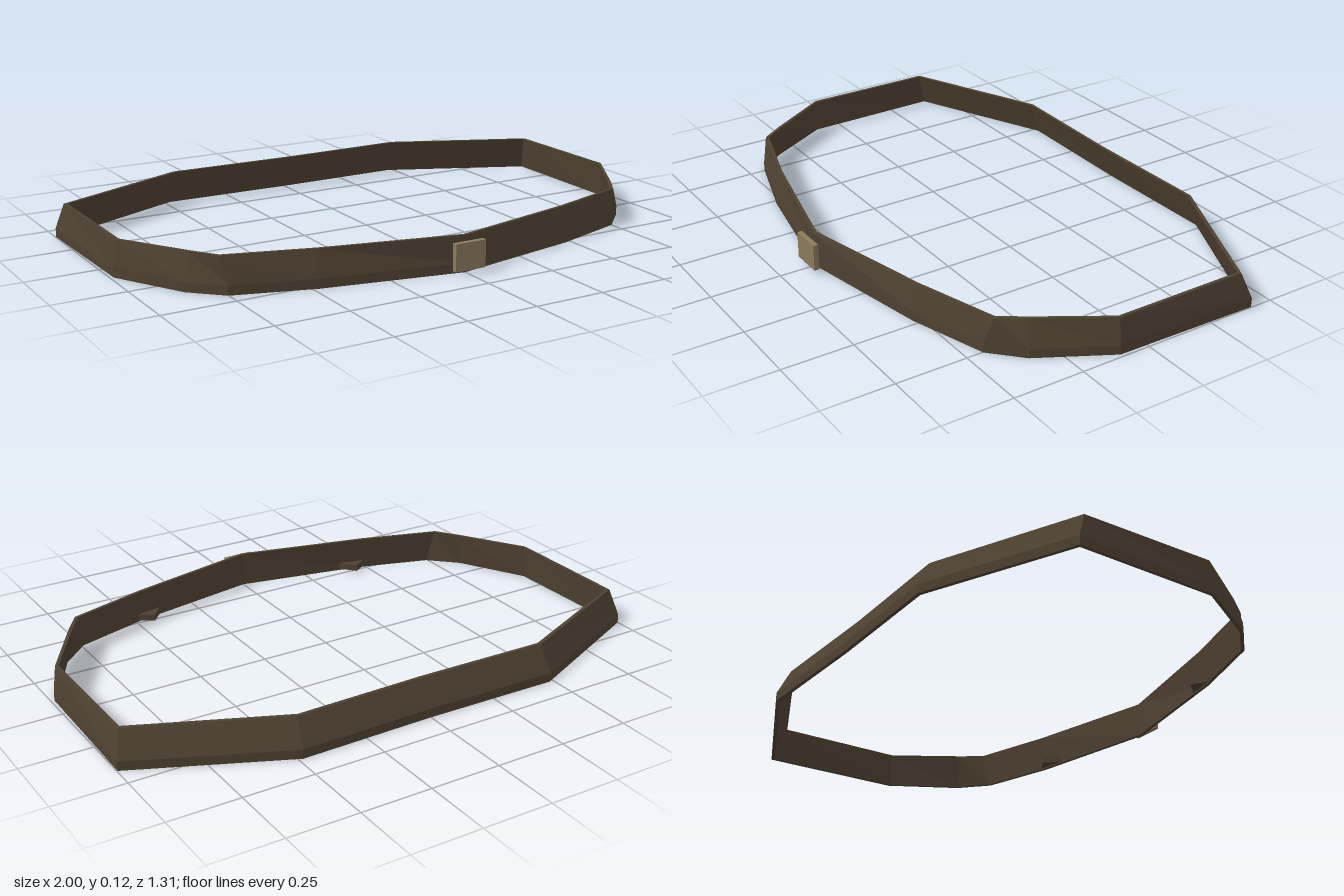
import * as THREE from 'three';

// Half of the strap, back centre to front centre: [top x, top z, bottom x, bottom z]
const HALF = [
  [0, -0.598, 0, -0.645],
  [0.475, -0.607, 0.485, -0.653],
  [0.976, -0.385, 0.998, -0.42],
  [0.976, 0.1, 0.988, 0.1],
  [0.83, 0.335, 0.853, 0.345],
  [0.772, 0.418, 0.752, 0.442],
  [0.48, 0.508, 0.48, 0.527],
  [0, 0.621, 0, 0.621],
];
const TOP = 0.128, LOW = 0.035, BOTTOM = 0.003;

// Closed band swept through five-sided cross-sections
function bandGeometry() {
  const mirrored = HALF.slice(1, -1).reverse().map(([a, b, c, d]) => [-a, b, -c, d]);
  const rings = [...HALF, ...mirrored].map(([tx, tz, bx, bz]) => {
    const inX = 0.988, inZ = 0.98;
    return [
      [bx, BOTTOM, bz],
      [bx, LOW, bz],
      [tx, TOP, tz],
      [tx * inX, TOP, tz * inZ],
      [bx * inX, BOTTOM, bz * inZ],
    ];
  });
  const pos = [];
  rings.forEach((ring, i) => {
    const next = rings[(i + 1) % rings.length];
    for (let j = 0; j < 5; j++) {
      const k = (j + 1) % 5;
      pos.push(...ring[j], ...ring[k], ...next[k], ...ring[j], ...next[k], ...next[j]);
    }
  });
  const geo = new THREE.BufferGeometry();
  geo.setAttribute('position', new THREE.Float32BufferAttribute(pos, 3));
  geo.computeVertexNormals();
  return geo;
}

// Small inward fold along the lower edge
function foldGeometry(side) {
  const shape = new THREE.Shape([
    new THREE.Vector2(side * 0.5, -0.515),
    new THREE.Vector2(side * 0.44, -0.478),
    new THREE.Vector2(side * 0.39, -0.535),
  ]);
  const geo = new THREE.ExtrudeGeometry(shape, { depth: 0.025, bevelEnabled: false });
  return geo.rotateX(-Math.PI / 2).translate(0, 0.008, 0);
}

export function createModel() {
  const leather = new THREE.MeshStandardMaterial({ color: 0x4e4131 });
  leather.name = 'dark leather';
  leather.flatShading = true;
  const brass = new THREE.MeshStandardMaterial({ color: 0x8a7a5c });
  brass.name = 'dull brass';

  const group = new THREE.Group();
  group.name = 'belt';
  const add = (name, geometry, material) => {
    const mesh = new THREE.Mesh(geometry, material);
    mesh.name = name;
    group.add(mesh);
    return mesh;
  };

  add('strap', bandGeometry(), leather);
  add('leftFold', foldGeometry(1), leather);
  add('rightFold', foldGeometry(-1), leather);

  // Buckle plate, floating just ahead of the strap
  add('buckle', new THREE.BoxGeometry(0.114, 0.093, 0.018), brass).position.set(0, 0.066, 0.643);
  return group;
}
